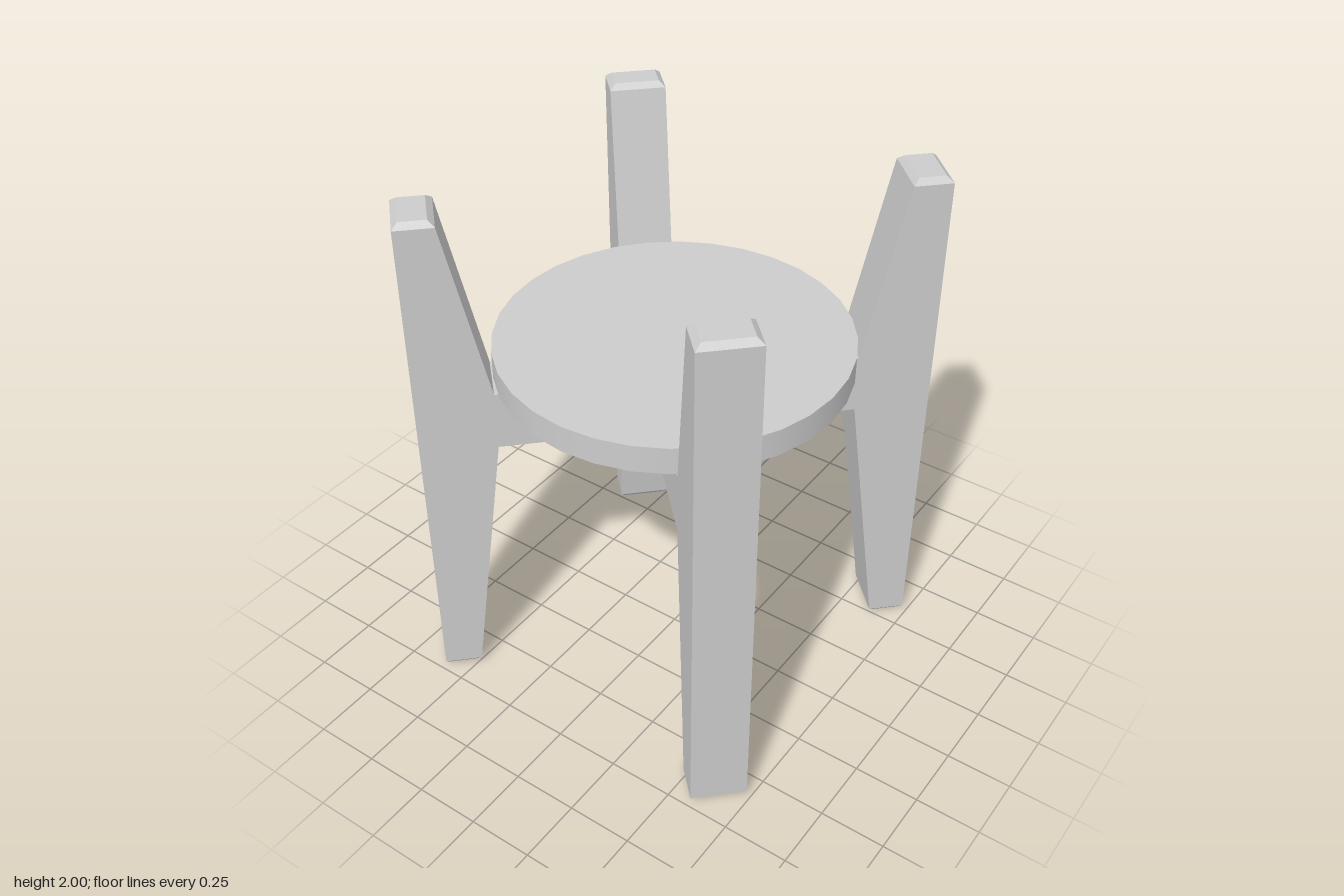
import * as THREE from 'three';

// Stack of rectangular sections [y, inner radius, outer radius, half width], flat shaded
function loftGeometry(sections) {
  const rings = sections.map(([y, a, b, w]) => [[a, y, w], [b, y, w], [b, y, -w], [a, y, -w]]);
  const pos = [];
  const quad = (a, b, c, d) => [a, b, c, a, c, d].forEach(p => pos.push(...p));
  for (let i = 0; i < rings.length - 1; i++) {
    for (let j = 0; j < 4; j++) {
      const k = (j + 1) % 4;
      quad(rings[i][j], rings[i][k], rings[i + 1][k], rings[i + 1][j]);
    }
  }
  const lo = rings[0], hi = rings[rings.length - 1];
  quad(lo[3], lo[2], lo[1], lo[0]);
  quad(hi[0], hi[1], hi[2], hi[3]);
  const geo = new THREE.BufferGeometry();
  geo.setAttribute('position', new THREE.Float32BufferAttribute(pos, 3));
  geo.computeVertexNormals();
  return geo;
}

export function createModel() {
  const model = new THREE.Group();
  model.name = 'stool';
  const grey = new THREE.MeshStandardMaterial({ color: 0xcccccc });
  grey.name = 'light grey';

  const add = (name, geo) => {
    const mesh = new THREE.Mesh(geo, grey);
    mesh.name = name;
    model.add(mesh);
    return mesh;
  };

  const W = 0.104, OUT = 0.935, IN = 0.655, TIP = 0.795, BEVEL = 0.022;
  const RAIL_LOW = 1.07, RAIL_HIGH = 1.3;

  // Round seat
  add('seat', new THREE.CylinderGeometry(0.65, 0.65, 0.105, 32)).position.y = RAIL_HIGH + 0.0525;

  // Four legs, thickest at the rails, with chamfered ends
  const legGeo = loftGeometry([
    [0, TIP + BEVEL, OUT - BEVEL, W - BEVEL],
    [0.025, TIP, OUT, W],
    [RAIL_LOW, IN, OUT, W],
    [RAIL_HIGH, IN, OUT, W],
    [1.98, TIP, OUT, W],
    [2, TIP + BEVEL, OUT - BEVEL, W - BEVEL],
  ]);
  // Half rails run from the crossing out to each leg
  const railGeo = loftGeometry([[RAIL_LOW, W, IN, W], [RAIL_HIGH, W, IN, W]]);
  for (let i = 0; i < 4; i++) {
    const angle = Math.PI / 4 + i * Math.PI / 2;
    add('leg', legGeo).rotation.y = angle;
    add('rail', railGeo).rotation.y = angle;
  }

  // Block where the rails cross
  const hub = add('railCrossing', new THREE.BoxGeometry(2 * W, RAIL_HIGH - RAIL_LOW, 2 * W));
  hub.position.y = (RAIL_LOW + RAIL_HIGH) / 2;
  hub.rotation.y = Math.PI / 4;

  return model;
}
